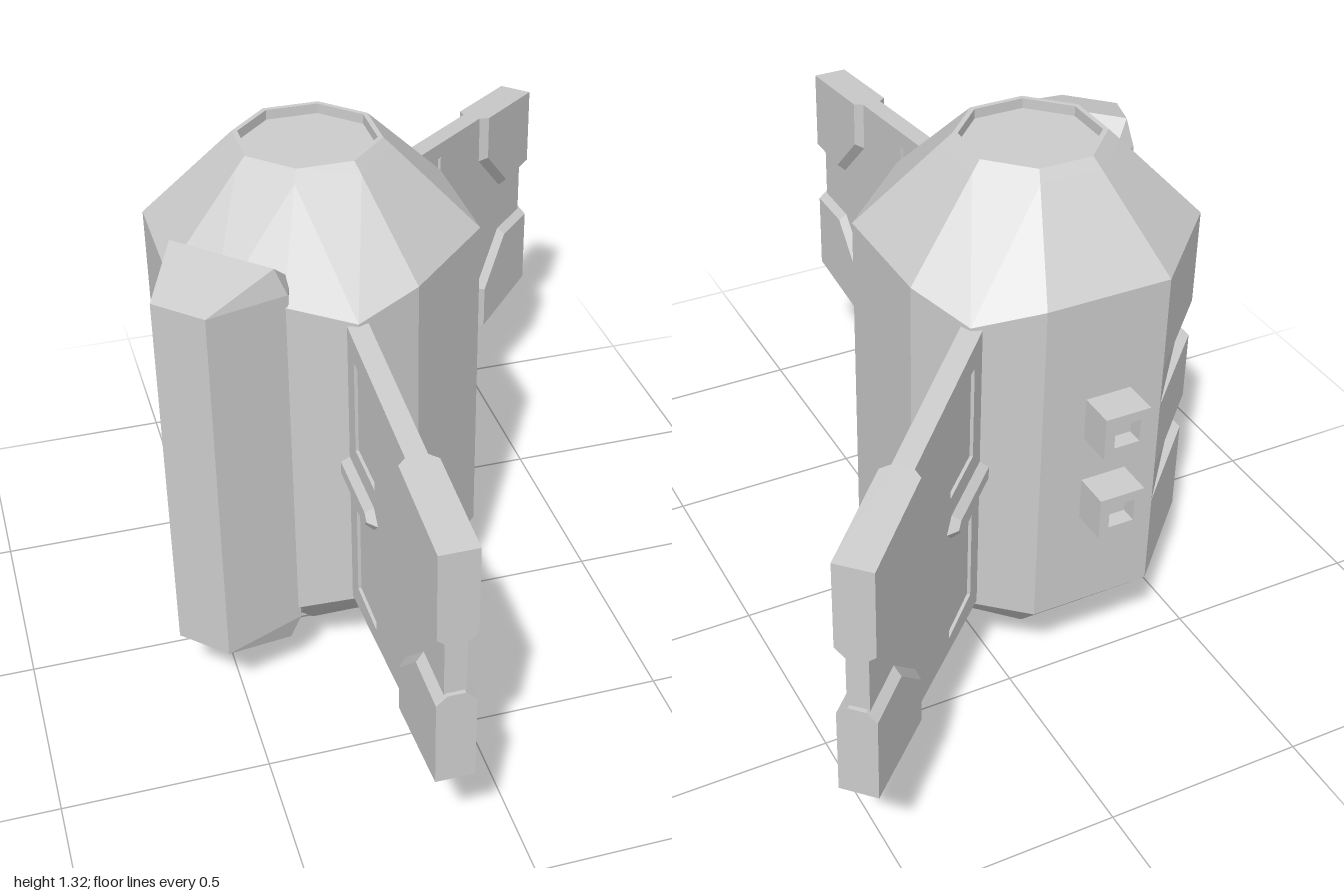
import * as THREE from 'three';
import { ConvexGeometry } from 'three/addons/geometries/ConvexGeometry.js';

const grey = new THREE.MeshStandardMaterial({ color: 0xcccccc, flatShading: true });
const CX = -0.197, CZ = -0.157, MID = 0.6635; // body axis and mid height

function add(parent, name, geometry) {
  const mesh = new THREE.Mesh(geometry, grey);
  mesh.name = name;
  parent.add(mesh);
  return mesh;
}

const v = (x, y, z) => new THREE.Vector3(x, y, z);
const hull = (points) => new ConvexGeometry(points);

// Octagon corners for a given apothem
function octagon(apothem, y) {
  const r = apothem / Math.cos(Math.PI / 8);
  return Array.from({ length: 8 }, (_, i) => {
    const a = Math.PI / 8 + (i * Math.PI) / 4;
    return v(r * Math.sin(a), y, r * Math.cos(a));
  });
}

// Ridges where the two wings and the side pod join the body
const ridges = (y) => [0, 0.75 * Math.PI, -0.25 * Math.PI]
  .map((a) => v(0.432 * Math.sin(a), y, 0.432 * Math.cos(a)));

// Body cross-section; the groove pulls in the back right corner only
function section(y, groove = 0) {
  const ring = octagon(0.378, y);
  for (const p of ring) {
    if (p.x < -0.3 && p.z < 0 && p.z > -0.2) { p.x += groove; p.z += groove * 0.41; }
  }
  return [...ring, ...ridges(y)];
}

// Symmetric raised block: base outline at the plate, inset outline on the faces
function raised(base, inset, s = 1) {
  const points = [];
  for (const side of [-1, 1]) {
    base.forEach(([r, y]) => points.push(v(r, y * s, side * 0.02)));
    inset.forEach(([r, y]) => points.push(v(r, y * s, side * 0.045)));
  }
  return hull(points);
}

function rectPath(x0, y0, x1, y1, Type = THREE.Path) {
  return new Type([[x0, y0], [x1, y0], [x1, y1], [x0, y1]].map(([x, y]) => new THREE.Vector2(x, y)));
}

function createBody() {
  const body = new THREE.Group();
  body.name = 'body';

  // Sloping ends, mirrored about the mid height
  for (const s of [1, -1]) {
    const points = [
      ...octagon(0.189, 0.6365), ...octagon(0.378, 0.435), ...ridges(0.395), ...section(0.145 + 0.045),
    ];
    points.forEach((p) => { p.y *= s; });
    add(body, s > 0 ? 'upperHull' : 'lowerHull', hull(points));

    // Groove band
    add(body, 'groove', hull([...section(0.09 * s, 0.028), ...section(0.19 * s, 0.028)]));

    // Raised rim around the recessed end cap
    const k = 1 / Math.cos(Math.PI / 8);
    const profile = [[0.189, 0.6365], [0.165, 0.6615], [0.153, 0.6615], [0.153, 0.6365]]
      .map(([r, y]) => new THREE.Vector2(r * k, y));
    const rim = add(body, 'capRim', new THREE.LatheGeometry(profile, 8, Math.PI / 8));
    if (s < 0) rim.rotation.x = Math.PI;
  }
  add(body, 'middleHull', hull([...section(-0.09), ...section(0.09)]));
  return body;
}

// Wing runs outwards along local +x, with its thickness along z
function createWing(name) {
  const wing = new THREE.Group();
  wing.name = name;

  const outline = new THREE.Shape([
    [0.36, -0.397], [1.147, -0.308], [1.147, 0.308], [0.36, 0.397],
  ].map(([x, y]) => new THREE.Vector2(x, y)));
  outline.holes.push(rectPath(0.477, 0.085, 0.637, 0.325), rectPath(0.477, -0.325, 0.637, -0.085));
  const plate = new THREE.ExtrudeGeometry(outline, { depth: 0.05, bevelEnabled: false });
  add(wing, 'wingPlate', plate.translate(0, 0, -0.025));

  for (const s of [1, -1]) {
    add(wing, 'recessedPanel', new THREE.BoxGeometry(0.16, 0.24, 0.034)).position.set(0.557, 0.205 * s, 0);
    add(wing, 'tipPad', raised(
      [[0.867, 0.34], [0.867, 0.205], [1.005, 0.068], [1.157, 0.068], [1.157, 0.307]],
      [[0.89, 0.337], [0.89, 0.215], [1.015, 0.09], [1.157, 0.09], [1.157, 0.307]], s));
  }
  add(wing, 'spike', raised(
    [[0.4, 0.036], [0.63, 0.036], [0.667, 0], [0.63, -0.036], [0.4, -0.036]],
    [[0.4, 0.016], [0.62, 0.016], [0.636, 0], [0.62, -0.016], [0.4, -0.016]]));
  return wing;
}

// Tapered pod, outwards along local +x
function createPod() {
  const points = [];
  for (const sy of [1, -1]) {
    for (const sz of [1, -1]) {
      points.push(
        v(0.3, 0.465 * sy, 0.13 * sz), v(0.37, 0.465 * sy, 0.163 * sz),
        v(0.383, 0.532 * sy, 0.138 * sz), v(0.561, 0.478 * sy, 0.072 * sz));
    }
  }
  const pod = new THREE.Group();
  add(pod, 'sidePod', hull(points));
  pod.name = 'pod';
  return pod;
}

export function createModel() {
  const model = new THREE.Group();
  model.name = 'model';
  model.position.set(CX, MID, CZ);

  const frontWing = createWing('frontWing');
  frontWing.rotation.y = -Math.PI / 2;
  const backWing = createWing('backWing');
  backWing.rotation.y = Math.PI / 4;
  const pod = createPod();
  pod.rotation.y = -0.75 * Math.PI;
  model.add(createBody(), frontWing, backWing, pod);

  // Two hollow sockets on the back
  for (const y of [0.115, -0.115]) {
    const frame = rectPath(-0.058, -0.055, 0.058, 0.055, THREE.Shape);
    frame.holes.push(rectPath(-0.033, -0.03, 0.033, 0.03));
    const socket = add(model, 'backSocket', new THREE.ExtrudeGeometry(frame, { depth: 0.1, bevelEnabled: false }));
    socket.position.set(-0.013, y, -0.468);
    const floor = add(model, 'socketFloor', new THREE.BoxGeometry(0.08, 0.08, 0.06));
    floor.position.set(-0.013, y, -0.398);
  }

  const root = new THREE.Group();
  root.name = 'wingedPod';
  root.add(model);
  return root;
}
